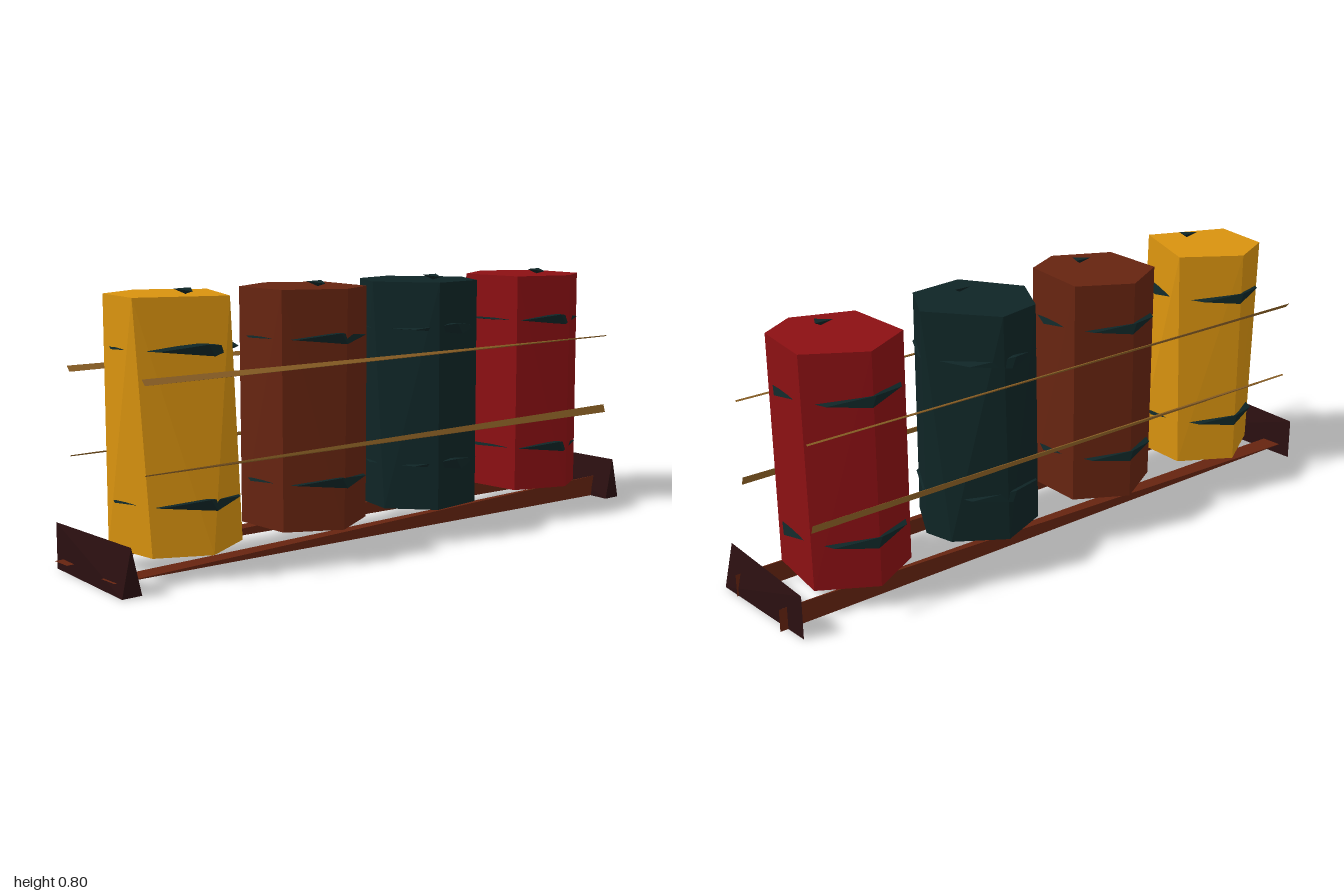
import * as THREE from 'three';
import { ConvexGeometry } from 'three/addons/geometries/ConvexGeometry.js';

const mat = (name, color) => {
  const m = new THREE.MeshStandardMaterial({ color });
  m.name = name;
  return m;
};

// Flat-faced solid spanned by a few corner points
function solid(name, points, material) {
  const mesh = new THREE.Mesh(new ConvexGeometry(points.map(p => new THREE.Vector3(...p))), material);
  mesh.name = name;
  return mesh;
}

// Ring corners at given angles (degrees, from +x towards +z)
const ring = (angles, r, y) => angles.map(a => {
  const t = THREE.MathUtils.degToRad(a);
  return [r * Math.cos(t), y, r * Math.sin(t)];
});

export function createModel() {
  const group = new THREE.Group();
  group.name = 'barrelRack';

  const yellow = mat('yellow', 0xd8920f);
  const brown = mat('brown', 0x662410);
  const teal = mat('darkTeal', 0x0f2526);
  const red = mat('red', 0x8c1013);
  const darkWood = mat('darkWood', 0x2a0f10);
  const tan = mat('tan', 0x946628);

  // Barrels: slightly twisted few-sided prisms
  const barrels = [
    { name: 'yellowBarrel', z: 0.7, m: yellow, top: [180, 246, 337, 67, 128], bottom: [180, 240, 300, 0, 53, 115] },
    { name: 'brownBarrel', z: 0.235, m: brown, top: [180, 238, 312, 355, 57, 122], bottom: [180, 238, 300, 0, 57, 120] },
    { name: 'tealBarrel', z: -0.23, m: teal, top: [190, 270, 325, 22, 90, 145], bottom: [185, 240, 270, 325, 22, 75, 130] },
    { name: 'redBarrel', z: -0.705, m: red, top: [180, 242, 307, 349, 50, 122], bottom: [180, 240, 310, 350, 50, 122] },
  ];
  for (const b of barrels) {
    const barrel = new THREE.Group();
    barrel.name = b.name;
    barrel.position.z = b.z;
    barrel.add(solid('body', [...ring(b.top, 0.19, 0.78), ...ring(b.bottom, 0.19, 0.07)], b.m));

    // Hoops: tall at the sides, thinning to an edge elsewhere
    for (const y of [0.21, 0.636]) {
      barrel.add(solid('hoop', [
        ...ring([3, 178], 0.195, y + 0.017),
        ...ring([357, 182], 0.195, y - 0.016),
        ...ring([45, 95, 140, 220, 275, 318], 0.189, y),
      ], teal));
    }

    // Bung on the lid
    barrel.add(solid('bung', [
      [0.053, 0.798, -0.028], [0.055, 0.797, 0.03], [0.07, 0.782, 0], [0.106, 0.791, 0],
    ], teal));
    group.add(barrel);
  }

  for (const s of [-1, 1]) {
    // Floor rails: flat at the front, upright at the back
    group.add(solid('floorRail', [
      [s * 0.125 - 0.034, 0.035, 1], [s * 0.125 + 0.034, 0.035, 1],
      [s * 0.125, 0, -1], [s * 0.125, 0.07, -1],
    ], brown));

    // Side rods, thick at opposite ends
    const x = s * 0.195;
    group.add(solid('upperRod', [
      [x - 0.007, 0.576, 0.92], [x + 0.007, 0.56, 0.92],
      [x - 0.002, 0.566, -0.92], [x + 0.002, 0.57, -0.92],
    ], tan));
    group.add(solid('lowerRod', [
      [x - 0.002, 0.318, 0.92], [x + 0.002, 0.322, 0.92],
      [x - 0.004, 0.332, -0.92], [x + 0.004, 0.306, -0.92],
    ], tan));

    // End beams: wedges narrowing to an upright edge
    const z = s * 0.969;
    group.add(solid('endBeam', [
      [-0.2, 0, z], [-0.2, 0.135, z], [0.196, 0.135, z],
      [0.196, 0, z - 0.031], [0.196, 0, z + 0.031],
    ], darkWood));
  }
  return group;
}
